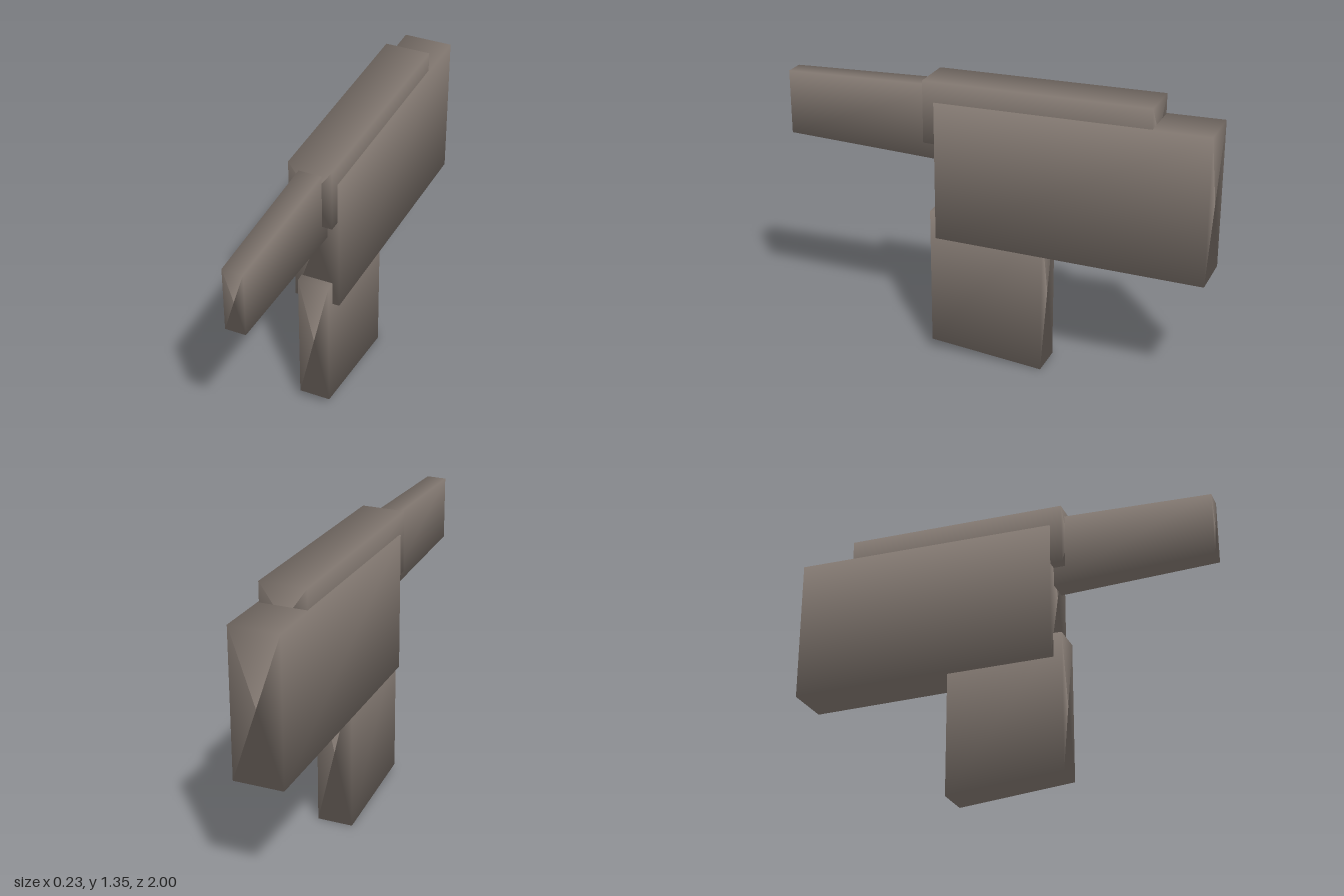
import * as THREE from 'three';

const material = new THREE.MeshStandardMaterial({ color: 0x80766f });

// Tapered block lofted along z; every ring keeps the soft diagonal normals of its
// four corners, including the rings collapsed to a point that close the ends.
// front and back: { z, half width, bottom, top }
function taperedBlock(name, front, back) {
  const corners = [[1, 1], [-1, 1], [-1, -1], [1, -1], [1, 1]];
  const rings = [[front, 0], [front, 1], [back, 1], [back, 0]];
  const position = [], normal = [], index = [];
  for (const [end, spread] of rings) {
    const middle = (end.top + end.bottom) / 2;
    const halfHeight = (end.top - end.bottom) / 2;
    for (const [sx, sy] of corners) {
      position.push(sx * end.half * spread, middle + sy * halfHeight * spread, end.z);
      normal.push(sx * Math.SQRT1_2, sy * Math.SQRT1_2, 0);
    }
  }
  for (let r = 0; r < 3; r++) {
    for (let c = 0; c < 4; c++) {
      const a = r * 5 + c, b = a + 1, d = a + 5, e = a + 6;
      if (r < 2) index.push(a, d, e);
      if (r > 0) index.push(a, e, b);
      if (r === 1) continue;
    }
  }
  const geometry = new THREE.BufferGeometry();
  geometry.setAttribute('position', new THREE.Float32BufferAttribute(position, 3));
  geometry.setAttribute('normal', new THREE.Float32BufferAttribute(normal, 3));
  // rings run front to back and corners anticlockwise, so flip to face outward
  for (let i = 0; i < index.length; i += 3) {
    const p = [0, 1, 2].map(k => new THREE.Vector3().fromArray(position, index[i + k] * 3));
    const face = p[1].clone().sub(p[0]).cross(p[2].clone().sub(p[0]));
    const centre = new THREE.Vector3(0, (front.top + front.bottom + back.top + back.bottom) / 4, (front.z + back.z) / 2);
    const out = p[0].clone().add(p[1]).add(p[2]).divideScalar(3).sub(centre);
    if (face.dot(out) < 0) [index[i + 1], index[i + 2]] = [index[i + 2], index[i + 1]];
  }
  geometry.setIndex(index);
  const mesh = new THREE.Mesh(geometry, material);
  mesh.name = name;
  return mesh;
}

export function createModel() {
  const model = new THREE.Group();
  model.name = 'blaster';
  model.add(
    // deep main body
    taperedBlock('body',
      { z: 0.255, half: 0.107, bottom: 0.59, top: 1.24 },
      { z: -1, half: 0.115, bottom: 0.573, top: 1.257 }),
    // rail set into the top of the body
    taperedBlock('topRail',
      { z: 0.31, half: 0.1, bottom: 1.045, top: 1.335 },
      { z: -0.74, half: 0.107, bottom: 1.035, top: 1.345 }),
    // narrow barrel at the front
    taperedBlock('barrel',
      { z: 1, half: 0.046, bottom: 0.98, top: 1.28 },
      { z: 0.2, half: 0.054, bottom: 0.953, top: 1.307 }),
    // grip below the body
    taperedBlock('grip',
      { z: 0.295, half: 0.074, bottom: 0.047, top: 0.705 },
      { z: -0.25, half: 0.084, bottom: 0, top: 0.72 }),
  );
  return model;
}
